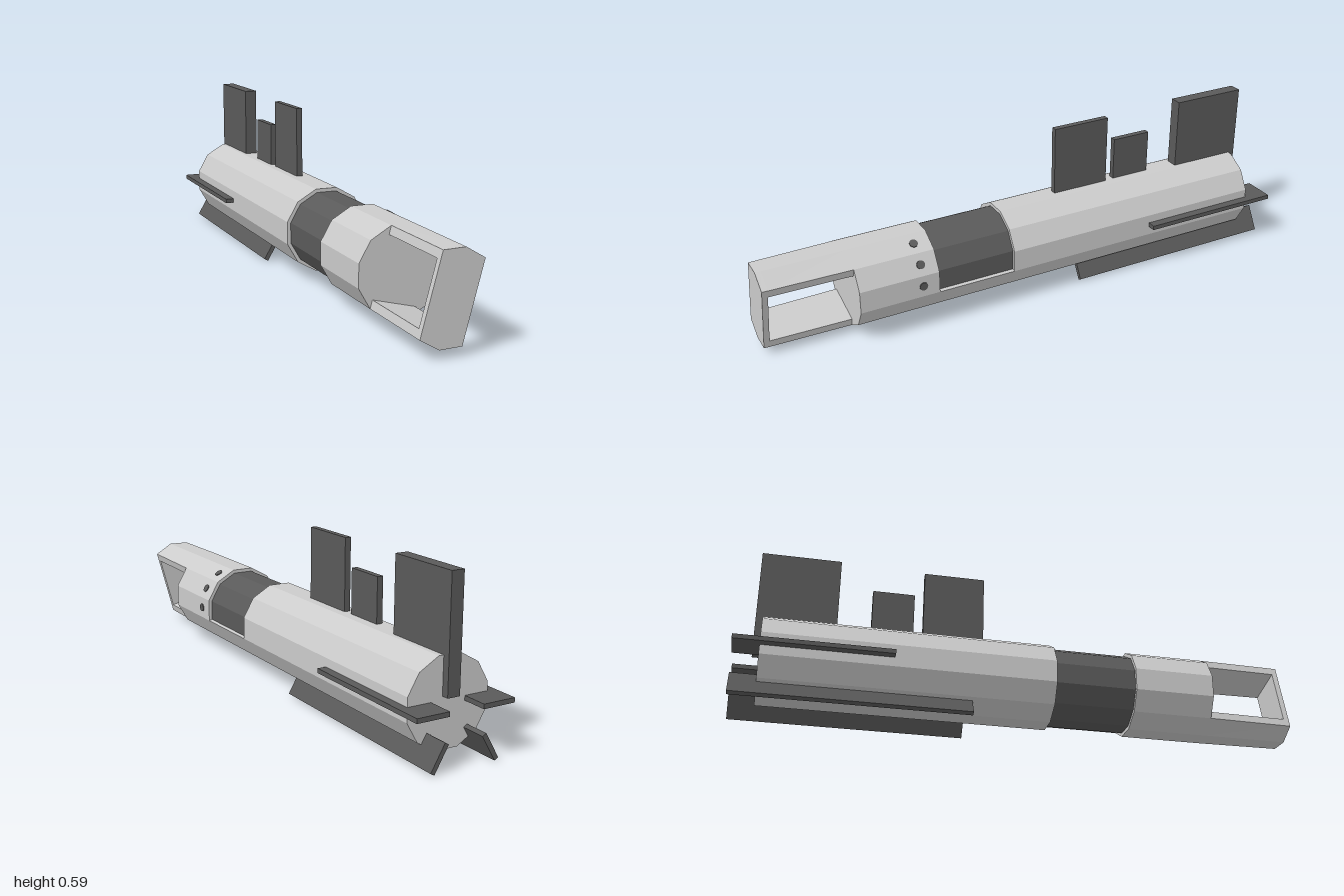
import * as THREE from 'three';

const R = 0.155;            // outer corner radius of the twelve-sided tube
const CX = -0.004, CY = 0.179; // tube axis
const rad = THREE.MathUtils.degToRad;

const light = new THREE.MeshStandardMaterial({ color: 0xcccccc, flatShading: true });
const dark = new THREE.MeshStandardMaterial({ color: 0x5a5a5a, flatShading: true });

const polar = (r, deg) => new THREE.Vector2(r * Math.cos(rad(deg)), r * Math.sin(rad(deg)));
const twelveSided = (r) => Array.from({ length: 12 }, (_, i) => polar(r, 15 + 30 * i));

// Straight prism along z from a counter-clockwise profile
function prism(points, z0, z1) {
  const geo = new THREE.ExtrudeGeometry(new THREE.Shape(points), { depth: z1 - z0, bevelEnabled: false });
  return geo.translate(0, 0, z0);
}

export function createModel() {
  const model = new THREE.Group();
  const hilt = new THREE.Group();
  hilt.name = 'hilt';
  hilt.position.set(CX, CY, 0);
  model.add(hilt);

  function add(name, geo, mat, parent = hilt) {
    const mesh = new THREE.Mesh(geo, mat);
    mesh.name = name;
    parent.add(mesh);
    return mesh;
  }

  // Main tube sections
  add('body', prism(twelveSided(R), -0.91, 0.11), light);
  add('grip', prism(twelveSided(0.142), 0.11, 0.4), dark);
  add('emitter', prism(twelveSided(R), 0.4, 0.69), light);

  // Raised facet bridging body and emitter across the grip
  add('gripStrip', prism([polar(0.13, -45), polar(R, -45), polar(R, -15), polar(0.13, -15)], 0.11, 0.4), light);

  // Tilted open frame at the front, narrowing slightly towards the tip
  const frame = new THREE.Group();
  frame.name = 'frontFrame';
  frame.rotation.z = rad(-15);
  hilt.add(frame);
  const w = R / 2, h = R * Math.sin(rad(60)), inner = 0.105;
  const taper = (geo) => {
    const p = geo.attributes.position;
    for (let i = 0; i < p.count; i++) p.setX(i, p.getX(i) * (1 - 0.2 * (p.getZ(i) - 0.69)));
    geo.computeVertexNormals();
    return geo;
  };
  const V = (x, y) => new THREE.Vector2(x, y);
  const bar = [V(-w, inner), V(w, inner), V(w, h), V(0, R), V(-w, h)];
  add('upperBar', taper(prism(bar, 0.69, 0.98)), light, frame);
  add('lowerBar', taper(prism(bar.map((p) => V(-p.x, -p.y)), 0.69, 0.98)), light, frame);
  add('endPlate', taper(prism([V(-w, -h), V(0, -R), V(w, -h), V(w, h), V(0, R), V(-w, h)], 0.98, 1)), light, frame);

  // Round buttons on three neighbouring facets
  for (const deg of [0, 30, 60]) {
    const button = add('button', new THREE.CylinderGeometry(0.015, 0.015, 0.012, 16), dark);
    const p = polar(0.147, deg);
    button.position.set(p.x, p.y, 0.46);
    button.rotation.z = rad(deg - 90);
  }

  // Upright fins: x range, y range, z range in model space
  const block = (name, x0, x1, y0, y1, z0, z1) => {
    const mesh = add(name, new THREE.BoxGeometry(x1 - x0, y1 - y0, z1 - z0), dark, model);
    mesh.position.set((x0 + x1) / 2, (y0 + y1) / 2, (z0 + z1) / 2);
  };
  block('frontFin', -0.018, 0.004, 0.3, 0.583, -0.35, -0.13);
  block('middleFin', -0.022, 0, 0.3, 0.487, -0.535, -0.385);
  block('rearFin', -0.028, 0.018, 0.2, 0.588, -0.935, -0.655);

  // Side and lower fins, mirrored
  for (const s of [-1, 1]) {
    const side = add('sideFin', new THREE.BoxGeometry(0.118, 0.016, 0.54), dark);
    side.position.set(s * 0.122, 0.001, -0.73);
    const lower = add('lowerFin', new THREE.BoxGeometry(0.1, 0.016, 0.82), dark);
    const end = V(s * 0.1195, -0.175), dir = V(s * Math.cos(rad(60)), -Math.sin(rad(60)));
    lower.position.set(end.x - dir.x * 0.05, end.y - dir.y * 0.05, -0.59);
    lower.rotation.z = rad(-60 * s);
  }

  return model;
}
